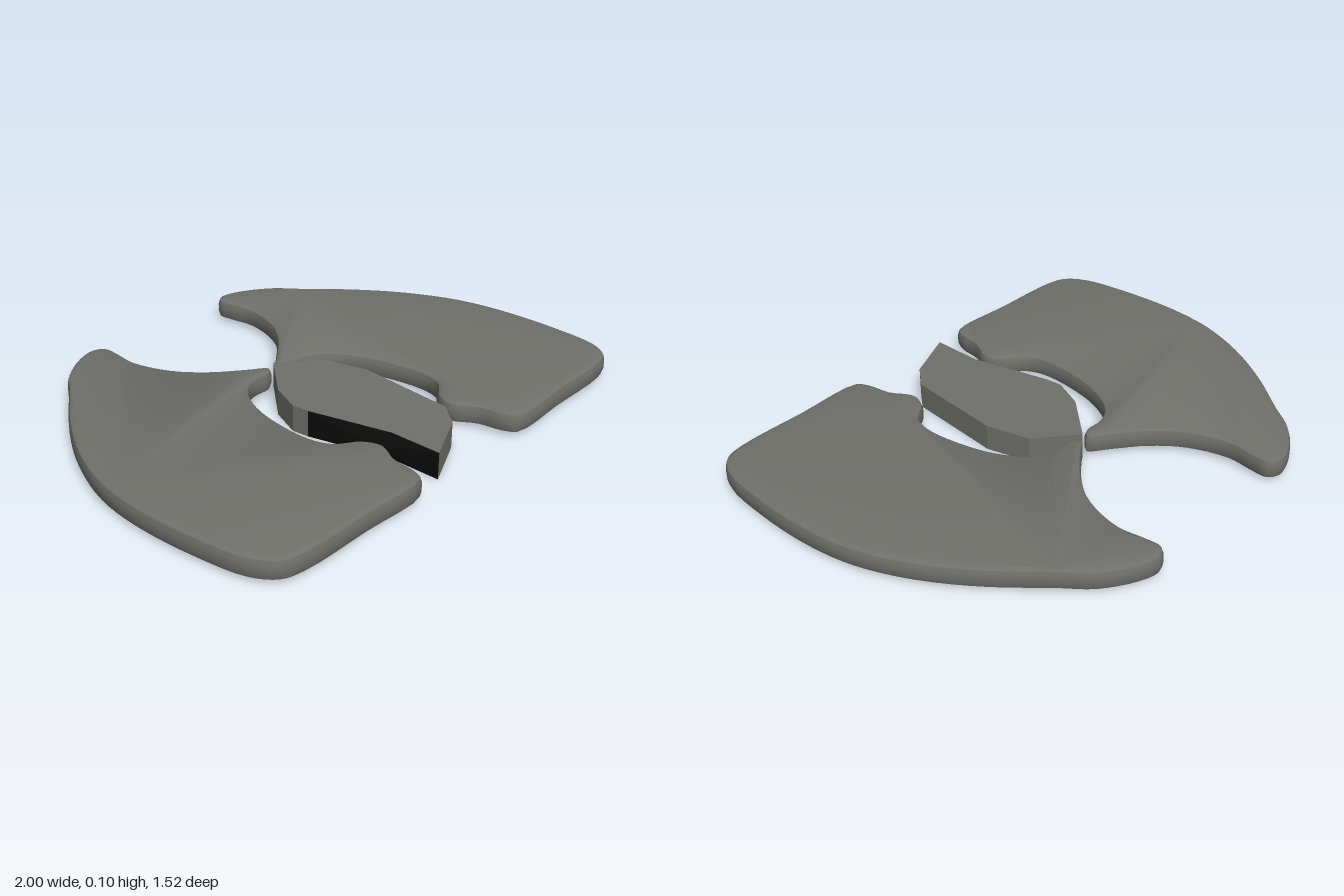
import * as THREE from 'three';
import { toCreasedNormals } from 'three/addons/utils/BufferGeometryUtils.js';

const grey = new THREE.MeshStandardMaterial({ color: 0x70706b });
grey.name = 'stone grey';
const dark = new THREE.MeshStandardMaterial({ color: 0x0c0c0c, side: THREE.DoubleSide });
dark.name = 'near black';

// Plan outlines as [x, z]
const WING = [
  [0.35, -0.76], [0.43, -0.74], [0.55, -0.66], [0.63, -0.56], [0.77, -0.39], [0.89, -0.2],
  [0.97, 0], [1, 0.2], [0.995, 0.45], [0.965, 0.64], [0.91, 0.72], [0.83, 0.745],
  [0.55, 0.75], [0.28, 0.75], [0.25, 0.7], [0.235, 0.61], [0.19, 0.52], [0.215, 0.45],
  [0.29, 0.39], [0.315, 0.32], [0.31, 0.19], [0.27, 0.03], [0.2, -0.08], [0.13, -0.115],
  [0.05, -0.117], [0.015, -0.15], [0.085, -0.21], [0.19, -0.3], [0.27, -0.41],
  [0.315, -0.56], [0.305, -0.66], [0.305, -0.73],
];
const CORE = [
  [0, -0.145], [0.145, -0.02], [0.185, 0.15], [0.14, 0.535], [0.065, 0.62],
  [-0.135, 0.71], [-0.13, 0.51], [-0.2, 0.2], [-0.205, 0.135], [-0.15, 0.015],
];

// Extrudes a plan outline and lays it flat, with its underside at y = bottom
function slab(points, bottom, height, bevel, bevelHeight) {
  const geometry = new THREE.ExtrudeGeometry(new THREE.Shape(points), {
    depth: height - 2 * bevelHeight,
    bevelEnabled: bevel > 0,
    bevelSize: bevel,
    bevelOffset: -bevel,
    bevelThickness: bevelHeight,
    bevelSegments: 2,
  });
  geometry.rotateX(Math.PI / 2);
  geometry.translate(0, bottom + height - bevelHeight, 0);
  return geometry;
}

function wing(side) {
  const curve = new THREE.CatmullRomCurve3(
    WING.map(([x, z]) => new THREE.Vector3(x * side, z, 0)), true, 'centripetal');
  const points = curve.getPoints(128).slice(0, -1).map((p) => new THREE.Vector2(p.x, p.y));
  const mesh = new THREE.Mesh(toCreasedNormals(slab(points, 0.01, 0.08, 0.02, 0.025), 0.7), grey);
  mesh.name = side > 0 ? 'leftWing' : 'rightWing';
  return mesh;
}

// Dark folded facet filling the notch in the core's right side
function notchFacet() {
  const notch = [[-0.2, 0.2], [-0.13, 0.51], [-0.135, 0.71]];
  const rim = [
    ...notch.map(([x, z]) => [x, 0.1, z]),
    ...notch.reverse().map(([x, z]) => [x, 0, z]),
  ];
  const ridge = [-0.165, 0.05, 0.45];
  const corners = rim.flatMap((p, i) => [...ridge, ...p, ...rim[(i + 1) % rim.length]]);
  const geometry = new THREE.BufferGeometry();
  geometry.setAttribute('position', new THREE.Float32BufferAttribute(corners, 3));
  geometry.computeVertexNormals();
  const mesh = new THREE.Mesh(geometry, dark);
  mesh.name = 'coreNotch';
  return mesh;
}

export function createModel() {
  const model = new THREE.Group();
  model.name = 'wingedEmblem';

  // Mirrored wings
  model.add(wing(1), wing(-1));

  // Faceted centre piece
  const core = new THREE.Mesh(
    slab(CORE.map(([x, z]) => new THREE.Vector2(x, z)), 0, 0.1, 0, 0), grey);
  core.name = 'core';
  model.add(core, notchFacet());

  return model;
}
